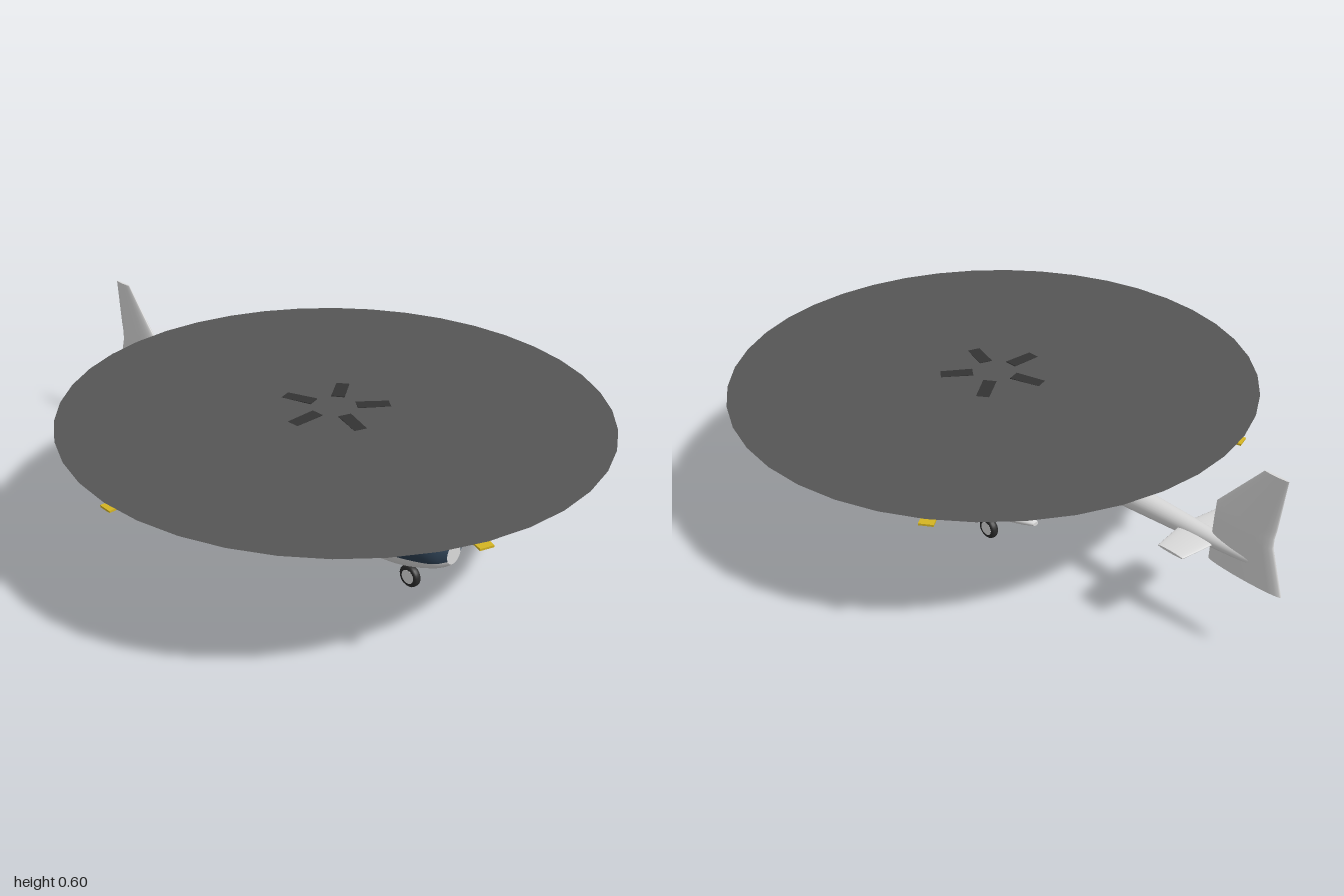
import * as THREE from 'three';

const material = (name, color, side = THREE.FrontSide) => {
  const m = new THREE.MeshStandardMaterial({ color, side });
  m.name = name;
  return m;
};

// Smooth interpolation of sections [z, cx, cy, halfWidth, halfHeight], z descending
function sectionAt(s, z) {
  let i = 0;
  while (i < s.length - 2 && z < s[i + 1][0]) i++;
  const slope = (k, c) => {
    const a = s[Math.max(k - 1, 0)], b = s[Math.min(k + 1, s.length - 1)];
    return (b[c] - a[c]) / (b[0] - a[0]);
  };
  const d = s[i + 1][0] - s[i][0], t = (z - s[i][0]) / d, t2 = t * t, t3 = t2 * t;
  return s[i].map((v, c) => c === 0 ? z :
    (2 * t3 - 3 * t2 + 1) * v + (t3 - 2 * t2 + t) * d * slope(i, c) +
    (3 * t2 - 2 * t3) * s[i + 1][c] + (t3 - t2) * d * slope(i + 1, c));
}

// Capped loft of elliptical rings; isSecond(ring, segment) puts a face in material 1
function loft(rings, n = 32, isSecond = () => false) {
  const pos = [], faces = [[], []];
  const ring = ([z, cx, cy, w, h]) => {
    for (let j = 0; j < n; j++) {
      const a = j / n * Math.PI * 2;
      pos.push(cx + w * Math.cos(a), cy + h * Math.sin(a), z);
    }
  };
  rings.forEach(ring);
  for (let i = 0; i < rings.length - 1; i++) {
    for (let j = 0; j < n; j++) {
      const k = (j + 1) % n, a = i * n + j, b = i * n + k;
      faces[isSecond(i, j) ? 1 : 0].push(a, a + n, b, b, a + n, b + n);
    }
  }
  [rings[0], rings[rings.length - 1]].forEach((r, end) => {
    const base = pos.length / 3;
    ring(r);
    pos.push(r[1], r[2], r[0]);
    for (let j = 0; j < n; j++) {
      const a = base + j, b = base + (j + 1) % n;
      faces[0].push(base + n, end ? b : a, end ? a : b);
    }
  });
  const g = new THREE.BufferGeometry();
  g.setAttribute('position', new THREE.Float32BufferAttribute(pos, 3));
  g.setIndex([...faces[0], ...faces[1]]);
  g.addGroup(0, faces[0].length, 0);
  if (faces[1].length) g.addGroup(faces[0].length, faces[1].length, 1);
  g.computeVertexNormals();
  return g;
}

const smooth = (s, steps) => Array.from({ length: steps + 1 }, (_, i) =>
  sectionAt(s, s[0][0] + (s[s.length - 1][0] - s[0][0]) * i / steps));

export function createModel() {
  const model = new THREE.Group();
  model.name = 'helicopter';
  const paint = material('body paint', 0xdadada);
  const glass = material('tinted glass', 0x2c3e50);
  const dark = material('blade black', 0x333333);
  const discGrey = material('rotor disc grey', 0x555555, THREE.DoubleSide);
  const yellow = material('tip yellow', 0xd4b422);
  const tyre = material('tyre rubber', 0x2a2a2a);
  const add = (name, geometry, mat, parent = model) => {
    const m = new THREE.Mesh(geometry, mat);
    m.name = name;
    parent.add(m);
    return m;
  };

  // Fuselage with wraparound windscreen
  const hull = [
    [0.65, 0, 0.192, 0.03, 0.035], [0.63, 0, 0.2, 0.062, 0.06], [0.6, 0, 0.211, 0.085, 0.086],
    [0.55, 0, 0.225, 0.107, 0.12], [0.5, 0, 0.233, 0.121, 0.143], [0.44, 0, 0.239, 0.132, 0.159],
    [0.38, 0, 0.241, 0.138, 0.169], [0.2, 0, 0.243, 0.141, 0.173], [0.1, 0, 0.247, 0.14, 0.17],
    [0, 0, 0.255, 0.132, 0.158], [-0.1, 0, 0.265, 0.112, 0.134], [-0.16, 0, 0.277, 0.09, 0.108],
    [-0.2, 0, 0.29, 0.066, 0.078]];
  const rings = [];
  for (let i = 0; i <= 18; i++) rings.push(sectionAt(hull, 0.65 - 0.015 * i));
  for (let i = 1; i <= 24; i++) rings.push(sectionAt(hull, 0.38 - 0.58 * i / 24));
  add('fuselage', loft(rings, 48, (i, j) => i < 18 && (j < 28 || j >= 44)), [paint, glass]);

  // Cabin side windows, curved to the hull
  for (const side of [1, -1]) {
    const g = new THREE.PlaneGeometry(0.125, 0.13, 6, 8).rotateY(side * Math.PI / 2)
      .translate(0, 0.285, 0.2625);
    const p = g.attributes.position;
    for (let i = 0; i < p.count; i++) {
      const [, , cy, w, h] = sectionAt(hull, p.getZ(i));
      p.setX(i, side * (w * Math.sqrt(1 - ((p.getY(i) - cy) / h) ** 2) + 0.003));
    }
    g.computeVertexNormals();
    add(side > 0 ? 'leftWindow' : 'rightWindow', g, glass);
  }

  // Engine cowling and tail boom
  add('engineCowling', loft(smooth([
    [0.28, 0, 0.403, 0.02, 0.008], [0.2, 0, 0.407, 0.058, 0.026], [0.08, 0, 0.409, 0.078, 0.034],
    [-0.05, 0, 0.408, 0.08, 0.036], [-0.15, 0, 0.4, 0.07, 0.031], [-0.22, 0, 0.39, 0.05, 0.02],
    [-0.237, 0, 0.387, 0.036, 0.012]], 28)), paint);
  add('tailBoom', loft([
    [-0.17, 0, 0.297, 0.05, 0.05], [-0.75, 0, 0.309, 0.026, 0.025],
    [-0.87, 0, 0.31, 0.018, 0.018], [-0.965, 0, 0.311, 0.006, 0.012]]), paint);

  // Tail fin: sections run down the height
  add('tailFin', loft([
    [0.6, 0, 0.937, 0.004, 0.038], [0.44, 0, 0.86, 0.015, 0.1], [0.41, 0, 0.8565, 0.017, 0.0985],
    [0.38, 0, 0.856, 0.018, 0.1], [0.24, 0, 0.875, 0.013, 0.125]], 24).rotateX(-Math.PI / 2), paint);

  // Tailplane: sections run across the span
  add('tailplane', loft([
    [0.13, 0.715, 0.305, 0.045, 0.004], [0, 0.715, 0.307, 0.064, 0.008],
    [-0.13, 0.715, 0.305, 0.045, 0.004]], 24).rotateY(Math.PI / 2), paint);

  // Side pods
  for (const side of [1, -1]) {
    const x = side * 0.15;
    add(side > 0 ? 'leftPod' : 'rightPod', loft(smooth([
      [0.165, x, 0.142, 0.018, 0.011], [0.13, x, 0.141, 0.038, 0.019], [0.06, x, 0.139, 0.05, 0.027],
      [-0.02, x, 0.137, 0.051, 0.029], [-0.1, x, 0.137, 0.043, 0.026],
      [-0.16, x, 0.14, 0.026, 0.016], [-0.2, x, 0.143, 0.01, 0.006]], 24)), paint);
  }

  // Wheels with pale hubs
  const tyreProfile = [[0.02, -0.012], [0.031, -0.012], [0.036, -0.007], [0.037, 0],
    [0.036, 0.007], [0.031, 0.012], [0.02, 0.012]].map(([r, y]) => new THREE.Vector2(r, y));
  for (const [name, x, z] of [['noseWheel', 0, 0.49], ['leftWheel', 0.17, 0], ['rightWheel', -0.17, 0]]) {
    const wheel = new THREE.Group();
    wheel.name = name;
    wheel.position.set(x, 0.037, z);
    wheel.rotation.z = Math.PI / 2;
    add('tyre', new THREE.LatheGeometry(tyreProfile, 28), tyre, wheel);
    add('wheelHub', new THREE.CylinderGeometry(0.023, 0.023, 0.025, 24), paint, wheel);
    model.add(wheel);
  }

  // Main rotor: spinning disc and five drooping blades
  const rotor = new THREE.Group();
  rotor.name = 'mainRotor';
  rotor.position.set(0, 0.488, 0.153);
  add('rotorDisc', new THREE.CircleGeometry(0.841, 40).rotateX(-Math.PI / 2), discGrey, rotor);
  for (let i = 0; i < 5; i++) {
    const blade = new THREE.Group();
    blade.name = 'blade';
    blade.position.y = 0.0015;
    blade.rotation.set(0, Math.PI + i * Math.PI * 0.4, -0.026);
    add('bladeSpan', new THREE.BoxGeometry(0.72, 0.006, 0.042).translate(0.43, 0, 0), dark, blade);
    add('bladeTip', new THREE.BoxGeometry(0.05, 0.006, 0.042).translate(0.815, 0, 0), yellow, blade);
    rotor.add(blade);
  }
  model.add(rotor);
  return model;
}
